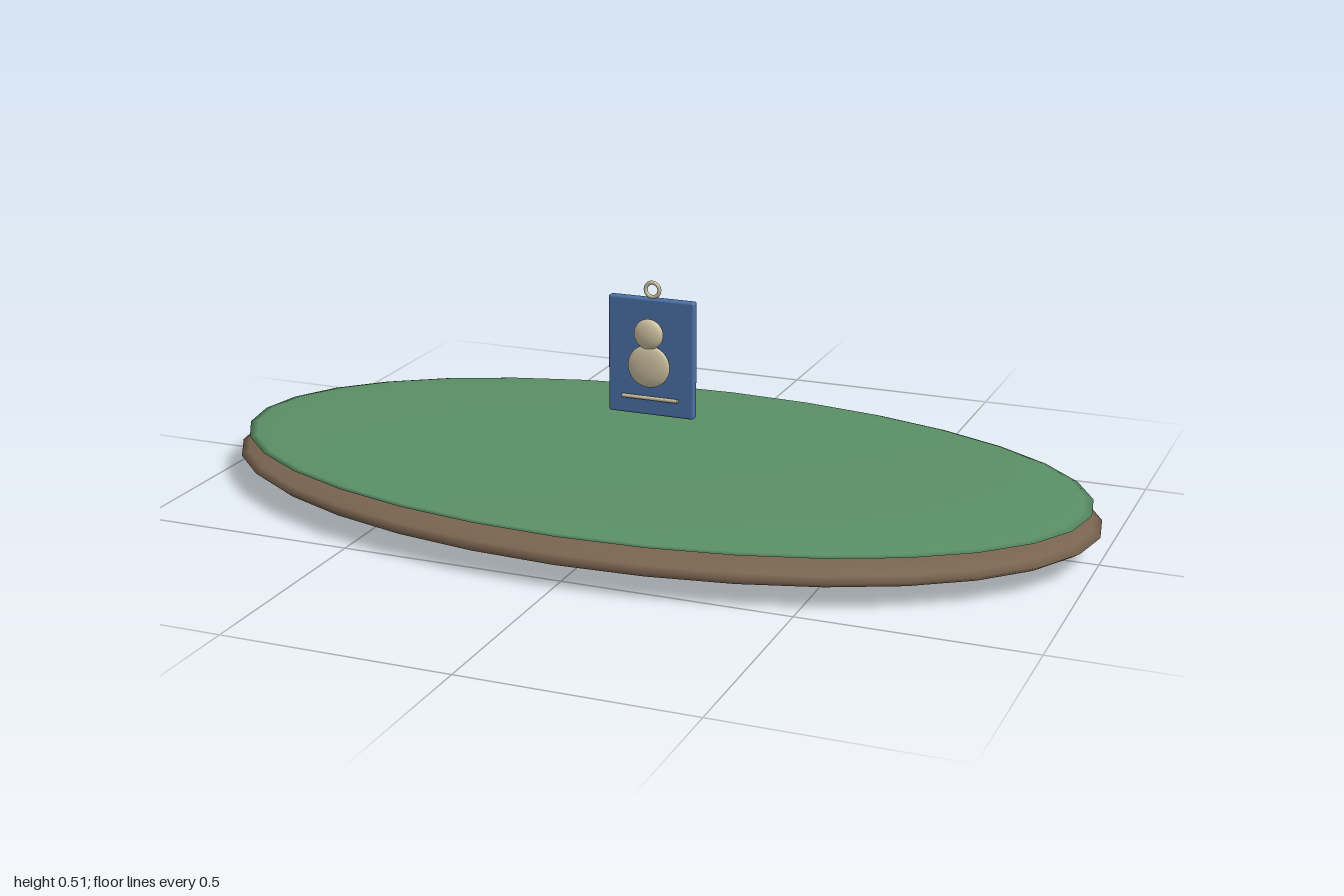
import * as THREE from 'three';
import { RoundedBoxGeometry } from 'three/addons/geometries/RoundedBoxGeometry.js';

const material = (name, color) => {
  const m = new THREE.MeshStandardMaterial({ color });
  m.name = name;
  return m;
};

export function createModel() {
  const soil = material('soil brown', 0x7a6450);
  const grass = material('grass green', 0x5a8f66);
  const blue = material('plaque blue', 0x4a6fa5);
  const cream = material('cream', 0xcbbf9f);

  const model = new THREE.Group();
  model.name = 'plaqueOnMound';

  const add = (name, geometry, mat, x, y, z) => {
    const mesh = new THREE.Mesh(geometry, mat);
    mesh.name = name;
    mesh.position.set(x, y, z);
    model.add(mesh);
    return mesh;
  };
  const ellipsoid = (name, mat, y, z, rx, ry, rz) =>
    add(name, new THREE.SphereGeometry(1, 32, 16).scale(rx, ry, rz), mat, 0, y, z);

  // Ground: a flattened soil mound with a thinner grass layer on top
  ellipsoid('soilMound', soil, 0.06, 0, 1, 0.06, 0.545);
  ellipsoid('grassTop', grass, 0.105, 0, 0.98, 0.018, 0.523);

  // Floating plaque and its hanging ring
  add('plaque', new RoundedBoxGeometry(0.2, 0.264, 0.021, 3, 0.005), blue, 0, 0.341, 0);
  add('hangingRing', new THREE.TorusGeometry(0.016, 0.0045, 10, 24), cream, 0, 0.491, 0);

  // Raised figure and the bar below it
  ellipsoid('figureHead', cream, 0.397, 0.0235, 0.034, 0.034, 0.0145);
  ellipsoid('figureBody', cream, 0.324, 0.022, 0.049, 0.048, 0.0125);
  add('bar', new THREE.CylinderGeometry(0.0045, 0.0045, 0.13, 12).rotateZ(Math.PI / 2),
    cream, 0, 0.25, 0.017);

  return model;
}
